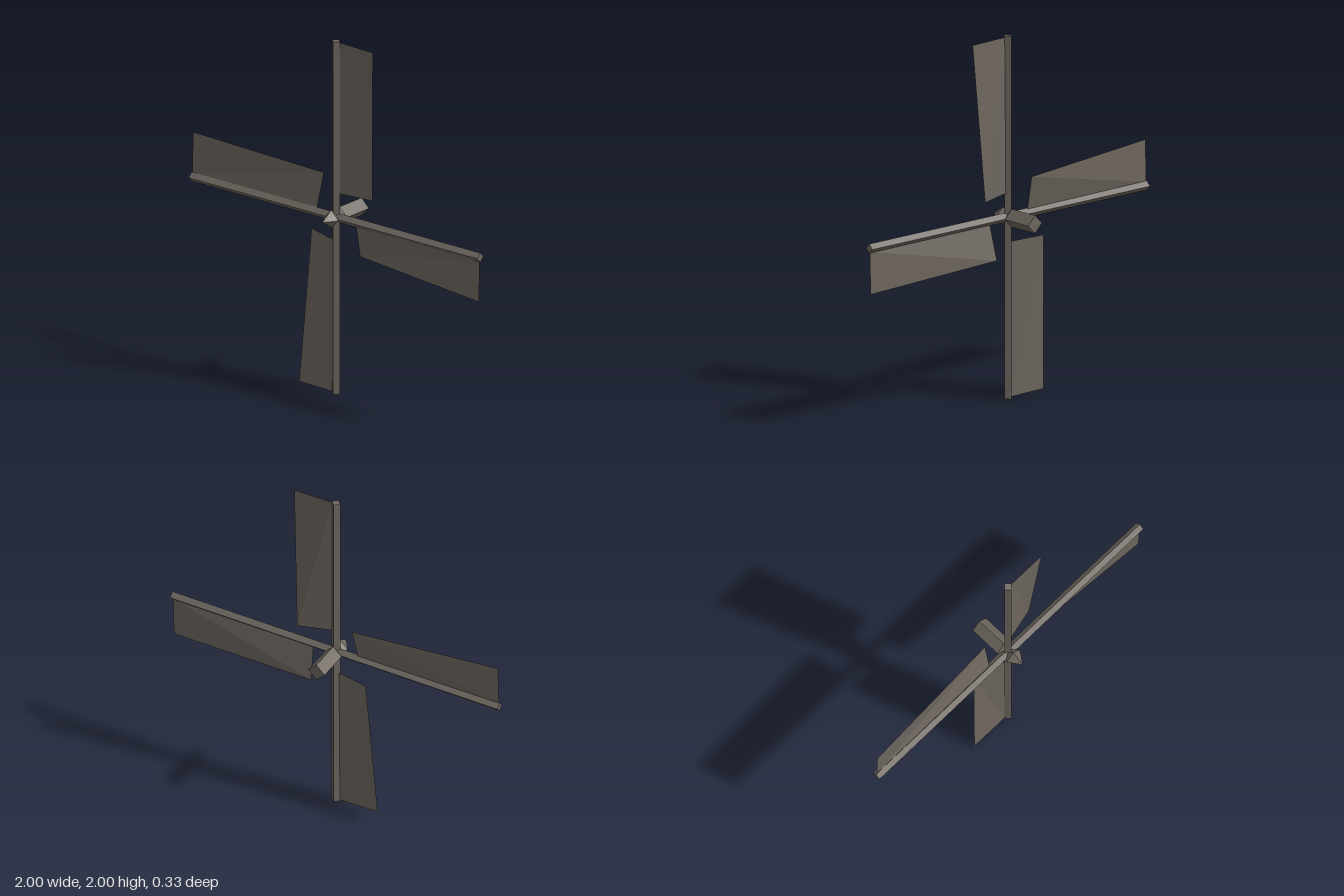
import * as THREE from 'three';

const wood = new THREE.MeshStandardMaterial({ color: 0x6e675f, flatShading: true, side: THREE.DoubleSide });
wood.name = 'weatheredWood';

const SPAR_Z = 0.05;

function part(name, geometry) {
  const mesh = new THREE.Mesh(geometry, wood);
  mesh.name = name;
  return mesh;
}

// Twisted sail panel for the upright arm: corners are relative to the hub axis
function sailGeometry() {
  const geometry = new THREE.BufferGeometry();
  geometry.setAttribute('position', new THREE.Float32BufferAttribute([
    0.02, 0.135, 0.045, // inner end, at the spar
    0.21, 0.125, 0, // inner end, free edge
    0.255, 0.99, 0.05, // tip, free edge
    0.02, 0.995, 0.05, // tip, at the spar
  ], 3));
  geometry.setIndex([0, 1, 3, 1, 2, 3]);
  geometry.computeVertexNormals();
  return geometry;
}

// Four-sided turned shape running along z; points are [radius, z]
function squareTurned(points) {
  const profile = points.map(([r, z]) => new THREE.Vector2(r, z));
  return new THREE.LatheGeometry(profile, 4).rotateX(Math.PI / 2);
}

export function createModel() {
  const model = new THREE.Group();
  model.name = 'windmillSails';

  const rotor = new THREE.Group();
  rotor.name = 'rotor';
  rotor.position.y = 1;
  model.add(rotor);

  // Two crossed spars, set on edge
  for (const [name, angle] of [['verticalSpar', 0], ['horizontalSpar', Math.PI / 2]]) {
    const spar = part(name, new THREE.CylinderGeometry(0.026, 0.026, 2, 4));
    spar.position.z = SPAR_Z;
    spar.rotation.z = angle;
    rotor.add(spar);
  }

  // One sail on each arm
  const sail = sailGeometry();
  for (let i = 0; i < 4; i++) {
    const mesh = part('sail', sail);
    mesh.rotation.z = i * Math.PI / 2;
    rotor.add(mesh);
  }

  // Axle behind the spars and pointed nose in front of them
  rotor.add(part('axle', squareTurned([[0, -0.165], [0.05, -0.165], [0.05, 0.02], [0.02, 0.05]])));
  rotor.add(part('nose', squareTurned([[0.02, 0.05], [0.05, 0.09], [0, 0.162]])));

  return model;
}
